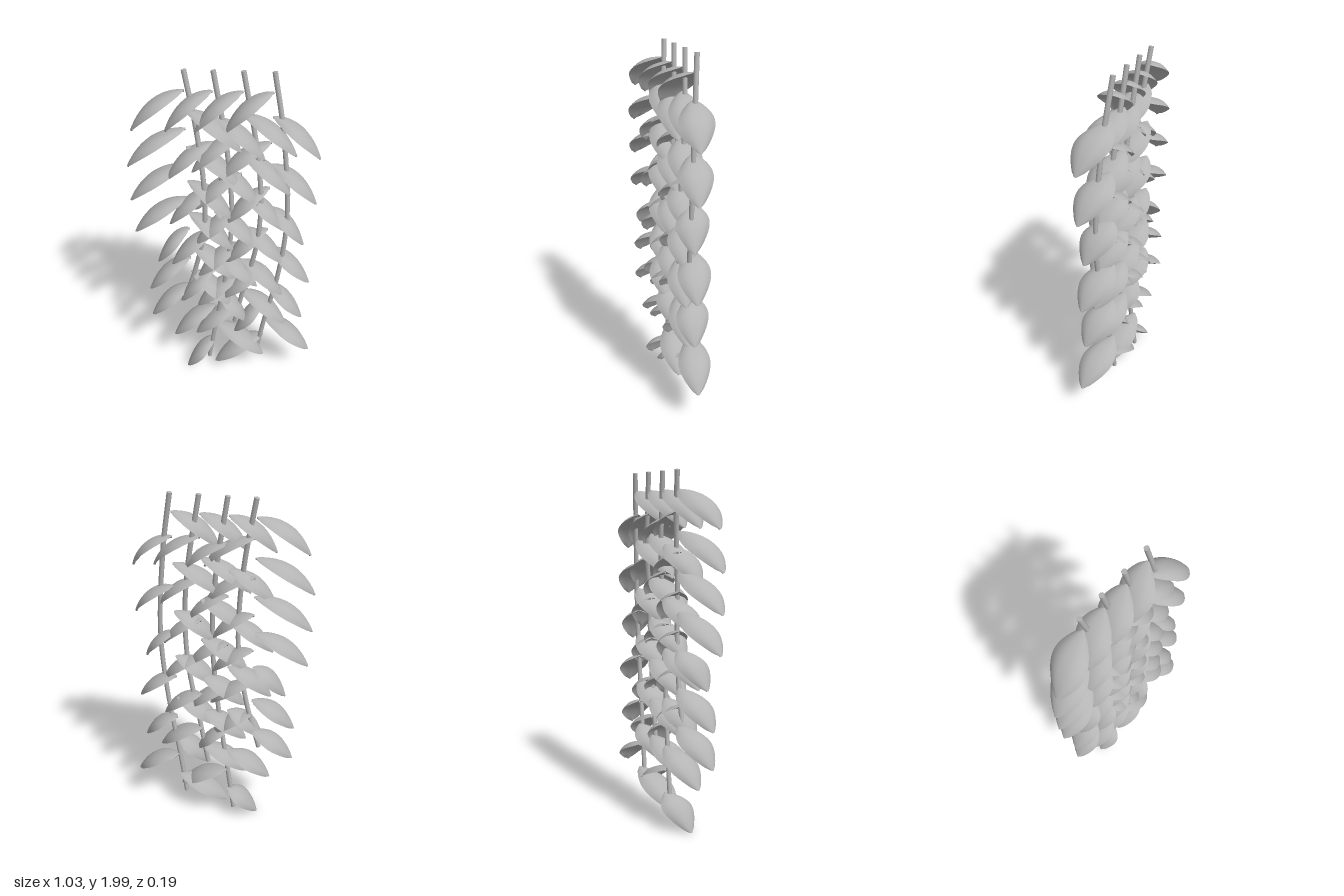
import * as THREE from 'three';
import { mergeGeometries } from 'three/addons/utils/BufferGeometryUtils.js';

const grey = new THREE.MeshStandardMaterial({ color: 0xb4b4b4, side: THREE.DoubleSide });
grey.name = 'plain grey';

// One curved skin of a leaf: arches out and down, with its edges rolled under
function leafSkin(reach, drop, side, thickness, facesUp) {
  const NU = 16, NV = 12, pos = [], index = [];
  for (let i = 0; i <= NU; i++) {
    const t = i / NU, k = 2 * t * (1 - t);
    const x = reach * (k * 0.71 + t * t), y = -drop * (k * 0.04 + t * t);
    // Tangent and upward normal of the midrib
    const tx = reach * (0.71 * (2 - 4 * t) + 2 * t), ty = -drop * (0.04 * (2 - 4 * t) + 2 * t);
    const len = Math.hypot(tx, ty), nx = -ty / len, ny = tx / len;
    const half = 0.006 + 0.089 * Math.pow(Math.sin(Math.PI * Math.pow(t, 0.95)), 0.72);
    const midZ = -0.035 * (1 - t) ** 3 + 0.03 * t ** 3;
    for (let j = 0; j <= NV; j++) {
      const v = j / NV * 2 - 1;
      const off = -0.4 * half * Math.abs(v) ** 2.6 - (facesUp ? 0 : thickness * (1 - v * v));
      pos.push(side * (x + nx * off), y + ny * off, midZ + half * v);
    }
  }
  for (let i = 0; i < NU; i++) for (let j = 0; j < NV; j++) {
    const a = i * (NV + 1) + j, b = a + NV + 1;
    if (facesUp === side > 0) index.push(a, a + 1, b, b, a + 1, b + 1);
    else index.push(a, b, a + 1, b, b + 1, a + 1);
  }
  const g = new THREE.BufferGeometry();
  g.setAttribute('position', new THREE.Float32BufferAttribute(pos, 3));
  g.setIndex(index);
  g.computeVertexNormals();
  return g;
}

function makeLeaf(reach, side) {
  const leaf = new THREE.Mesh(mergeGeometries([
    leafSkin(reach, 0.195, side, 0.012, true),
    leafSkin(reach, 0.195, side, 0.012, false)]), grey);
  leaf.name = side > 0 ? 'leftLeaf' : 'rightLeaf';
  return leaf;
}

// Each strand: stem x,y points, height of first leaf on the +x side, leaf spacing, leaf reaches
const strands = [
  { x: -0.21, stem: [[-0.21, 2], [-0.155, 1.7], [-0.12, 1.4], [-0.122, 1.1], [-0.18, 0.8], [-0.255, 0.54]],
    plus: 1.8, step: 0.2085,
    minusReach: [0.27, 0.305, 0.305, 0.295, 0.18, 0.24, 0.24], plusReach: [0.29, 0.29, 0.25, 0.25, 0.26, 0.25] },
  { x: -0.07, stem: [[-0.067, 2], [0, 1.6], [0.03, 1.2], [0, 0.8], [-0.06, 0.4], [-0.11, 0.06]],
    plus: 1.76, step: 0.2825,
    minusReach: [0.24, 0.245, 0.24, 0.24, 0.2, 0.25, 0.18], plusReach: [0.27, 0.25, 0.25, 0.25, 0.2, 0.305] },
  { x: 0.08, stem: [[0.08, 2], [0.155, 1.6], [0.185, 1.3], [0.17, 1], [0.1, 0.65], [0.05, 0.38]],
    plus: 1.785, step: 0.232,
    minusReach: [0.24, 0.26, 0.25, 0.25, 0.24, 0.25, 0.265], plusReach: [0.28, 0.26, 0.24, 0.25, 0.25, 0.28] },
  { x: 0.23, stem: [[0.23, 2], [0.285, 1.7], [0.33, 1.2], [0.3, 0.8], [0.23, 0.4], [0.19, 0.13]],
    plus: 1.775, step: 0.273,
    minusReach: [0.24, 0.27, 0.23, 0.23, 0.25, 0.18, 0.3], plusReach: [0.25, 0.25, 0.2, 0.25, 0.225, 0.285] },
];

export function createModel() {
  const model = new THREE.Group();
  model.name = 'hangingVines';
  for (const s of strands) {
    const strand = new THREE.Group();
    strand.name = 'vineStrand';

    // Stem: bowed tube with flat end caps
    const stemZ = [-0.05, -0.02, 0.01, 0.01, -0.01, -0.02];
    const path = new THREE.CatmullRomCurve3(s.stem.map(([x, y], i) => new THREE.Vector3(x, y, stemZ[i])));
    const stem = new THREE.Mesh(new THREE.TubeGeometry(path, 32, 0.0135, 10), grey);
    stem.name = 'stem';
    strand.add(stem);
    for (const end of [0, 1]) {
      const cap = new THREE.Mesh(new THREE.CircleGeometry(0.0135, 10), grey);
      cap.name = 'stemEnd';
      cap.position.copy(path.getPoint(end));
      cap.lookAt(cap.position.clone().addScaledVector(path.getTangent(end), end ? 1 : -1));
      strand.add(cap);
    }

    // Leaves alternate from side to side down the strand
    for (const [side, reaches, top] of [[-1, s.minusReach, 1.905], [1, s.plusReach, s.plus]]) {
      reaches.forEach((reach, i) => {
        const leaf = makeLeaf(reach, side);
        leaf.position.set(s.x, top - i * s.step, 0);
        strand.add(leaf);
      });
    }
    model.add(strand);
  }
  return model;
}
